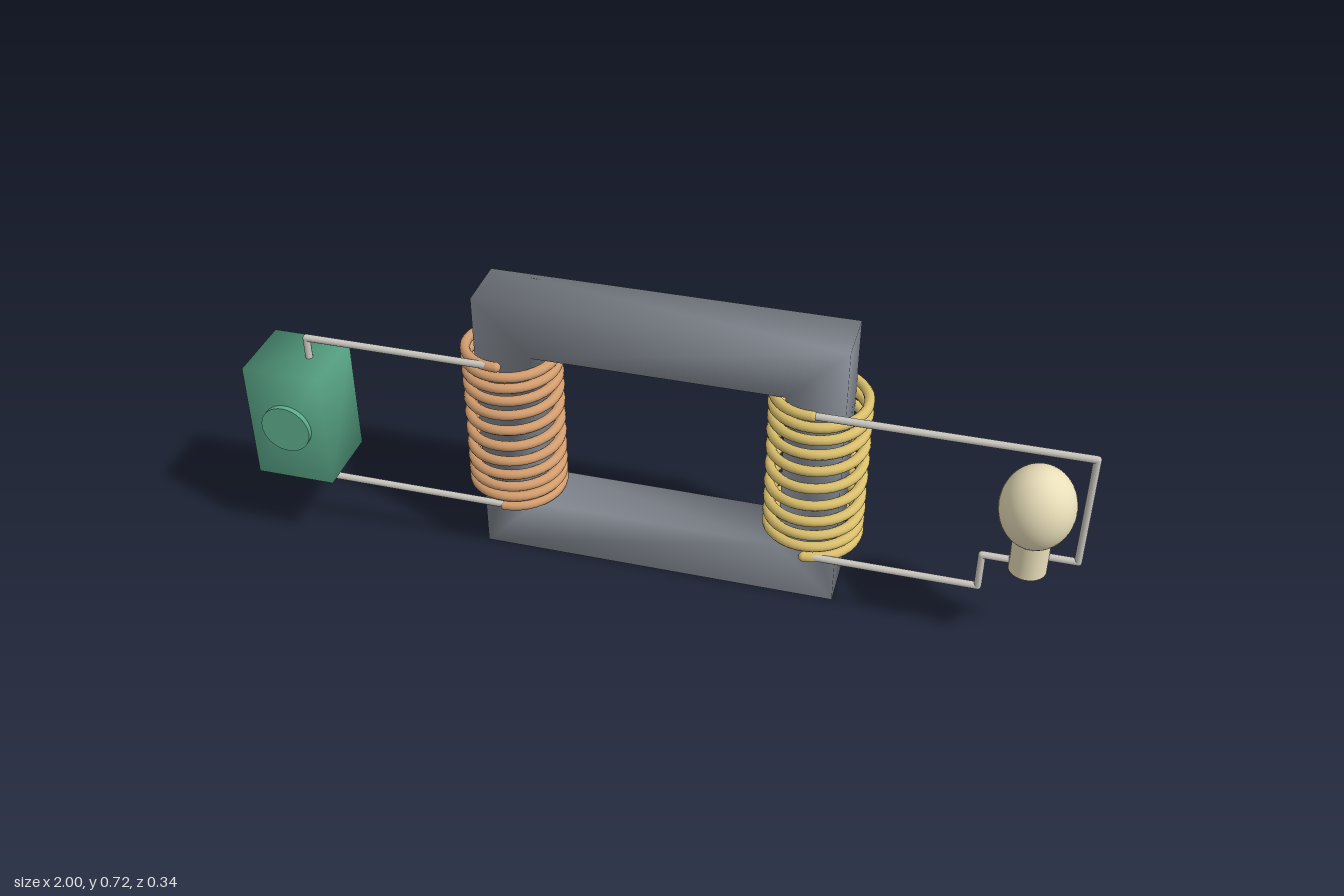
import * as THREE from 'three';
import { mergeVertices } from 'three/addons/utils/BufferGeometryUtils.js';

const mat = (color) => new THREE.MeshStandardMaterial({ color });
const steel = mat(0x858b94), copper = mat(0xd39d6e), brass = mat(0xdabf6c);
const wire = mat(0xcac7c0), green = mat(0x5cab8c), glass = mat(0xeadfba);

const WIRE_Z = 0.067, CORE_Z = -0.044, TOP = 0.565, BOTTOM = 0.158;

function add(parent, name, geometry, material, x = 0, y = 0, z = 0) {
  const mesh = new THREE.Mesh(geometry, material);
  mesh.name = name;
  mesh.position.set(x, y, z);
  parent.add(mesh);
  return mesh;
}

// Weld the corners so that shading runs softly around the block
function soften(geometry) {
  geometry.deleteAttribute('uv');
  geometry.deleteAttribute('normal');
  const welded = mergeVertices(geometry, 1e-4);
  welded.computeVertexNormals();
  return welded;
}

// Helix that starts and ends at the front, wound a little tighter at its ends
class Helix extends THREE.Curve {
  constructor(radius, turns, y0, y1) {
    super();
    Object.assign(this, { radius, turns, y0, y1 });
  }
  getPoint(t, target = new THREE.Vector3()) {
    const a = t * this.turns * Math.PI * 2;
    const s = t - 0.25 * Math.sin(2 * Math.PI * t) / (2 * Math.PI);
    return target.set(
      Math.sin(a) * this.radius,
      THREE.MathUtils.lerp(this.y0, this.y1, s),
      Math.cos(a) * this.radius
    );
  }
}

function addCoil(parent, name, x, turns, material) {
  const coil = new THREE.Group();
  coil.name = name;
  coil.position.set(x, 0, CORE_Z);
  const helix = new Helix(0.111, turns, BOTTOM - 0.003, TOP - 0.001);
  helix.arcLengthDivisions = 800;
  add(coil, name + 'Winding', new THREE.TubeGeometry(helix, turns * 36, 0.0125, 10), material);
  // Rounded wire ends
  for (const t of [0, 1]) {
    const p = helix.getPoint(t);
    add(coil, name + 'End', new THREE.SphereGeometry(0.0125, 12, 8), material, p.x, p.y, p.z);
  }
  parent.add(coil);
}

// Straight rods with ball joints through [x, y] points
function addLead(parent, name, points) {
  const lead = new THREE.Group();
  lead.name = name;
  lead.position.z = WIRE_Z;
  points.forEach(([x, y], i) => {
    add(lead, 'joint', new THREE.SphereGeometry(0.009, 12, 8), wire, x, y);
    if (i === 0) return;
    const [px, py] = points[i - 1];
    const rod = add(lead, 'rod',
      new THREE.CylinderGeometry(0.009, 0.009, Math.hypot(x - px, y - py), 12),
      wire, (x + px) / 2, (y + py) / 2);
    rod.rotation.z = Math.atan2(y - py, x - px) - Math.PI / 2;
  });
  parent.add(lead);
}

function rectangle(PathType, x0, y0, x1, y1) {
  return new PathType([[x0, y0], [x1, y0], [x1, y1], [x0, y1]].map(([x, y]) => new THREE.Vector2(x, y)));
}

export function createModel() {
  const model = new THREE.Group();
  model.name = 'transformer';

  // Closed rectangular core
  const frame = rectangle(THREE.Shape, -0.455, 0, 0.433, 0.717);
  frame.holes.push(rectangle(THREE.Path, -0.315, 0.145, 0.293, 0.575));
  const core = new THREE.ExtrudeGeometry(frame, { depth: 0.142, bevelEnabled: false });
  add(model, 'core', soften(core), steel, 0, 0, -0.115);

  // Windings around both posts
  addCoil(model, 'primaryCoil', -0.388, 11, copper);
  addCoil(model, 'secondaryCoil', 0.363, 10, brass);

  // Power source with a round button
  add(model, 'powerBox', soften(new THREE.BoxGeometry(0.196, 0.305, 0.181)), green, -0.902, 0.358, 0.066);
  const button = add(model, 'powerButton', new THREE.CylinderGeometry(0.062, 0.062, 0.03, 40), green, -0.903, 0.358, 0.155);
  button.rotation.x = Math.PI / 2;

  // Leads to the power source and to the bulb
  addLead(model, 'powerLeadTop', [[-0.388, TOP], [-0.867, TOP], [-0.867, 0.49]]);
  addLead(model, 'powerLeadBottom', [[-0.388, BOTTOM], [-0.867, BOTTOM], [-0.867, 0.23]]);
  addLead(model, 'bulbLeadTop', [[0.363, TOP], [0.988, TOP], [0.988, 0.277], [0.89, 0.277]]);
  addLead(model, 'bulbLeadBottom', [[0.363, BOTTOM], [0.775, BOTTOM], [0.775, 0.252], [0.87, 0.252]]);

  // Bulb
  const bulb = add(model, 'bulbGlass', new THREE.SphereGeometry(0.087, 40, 28), glass, 0.88, 0.413, WIRE_Z);
  bulb.scale.y = 1.2;
  add(model, 'bulbCap', new THREE.CylinderGeometry(0.044, 0.044, 0.095, 32), glass, 0.88, 0.2815, WIRE_Z);

  return model;
}
